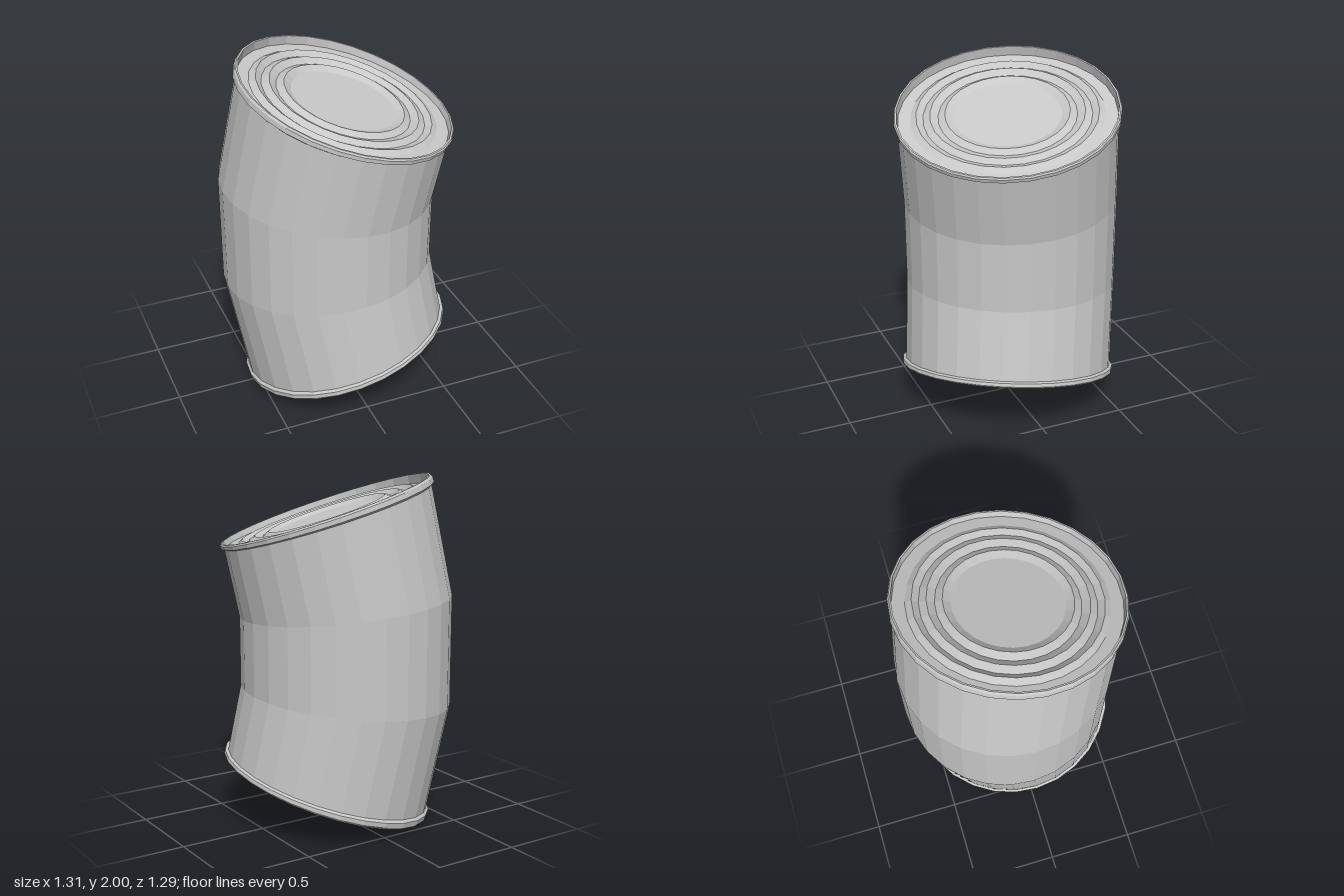
import * as THREE from 'three';

const SIDES = 28;
const BEND_RADIUS = 2.58;
const BEND_DIR = THREE.MathUtils.degToRad(31.5); // heading of the bend, from +x towards +z

// Bend an upright geometry along a circular arc
function bend(geometry) {
  const c = Math.cos(BEND_DIR), s = Math.sin(BEND_DIR);
  const p = geometry.attributes.position;
  for (let i = 0; i < p.count; i++) {
    const x = p.getX(i), z = p.getZ(i);
    const u = x * c + z * s, v = z * c - x * s;
    const a = p.getY(i) / BEND_RADIUS;
    const u2 = BEND_RADIUS - (BEND_RADIUS - u) * Math.cos(a);
    p.setXYZ(i, u2 * c - v * s, (BEND_RADIUS - u) * Math.sin(a), u2 * s + v * c);
  }
  geometry.computeVertexNormals();
  return geometry;
}

export function createModel() {
  const metal = new THREE.MeshStandardMaterial({ color: 0xc8c8c8, flatShading: true });
  metal.name = 'greyMetal';
  const can = new THREE.Group();
  can.name = 'bentCan';

  const addPart = (name, profile) => {
    const points = profile.map(([r, y]) => new THREE.Vector2(r, y));
    const mesh = new THREE.Mesh(bend(new THREE.LatheGeometry(points, SIDES)), metal);
    mesh.name = name;
    can.add(mesh);
  };

  // Wall in three straight sections
  addPart('wall', [[0.61, -0.78], [0.61, -0.26], [0.61, 0.26], [0.61, 0.78]]);

  // Raised rim and the sunken lid with three concentric ridges
  const rim = [[0.61, 0.775], [0.627, 0.785], [0.627, 0.81], [0.62, 0.82], [0.61, 0.82], [0.605, 0.775]];
  const low = 0.775, high = 0.795;
  const lid = [[0.605, low], [0.537, low], [0.503, high], [0.466, low], [0.427, high],
    [0.383, low], [0.344, high], [0.3, low], [0, low]];
  const flip = (profile) => profile.map(([r, y]) => [r, -y]).reverse();

  addPart('topRim', rim);
  addPart('topLid', lid);
  addPart('bottomRim', flip(rim));
  addPart('bottomLid', flip(lid));

  // Stand on the ground, centred
  const box = new THREE.Box3().setFromObject(can);
  const centre = box.getCenter(new THREE.Vector3());
  can.children.forEach((m) => m.position.set(-centre.x, -box.min.y, -centre.z));
  return can;
}
